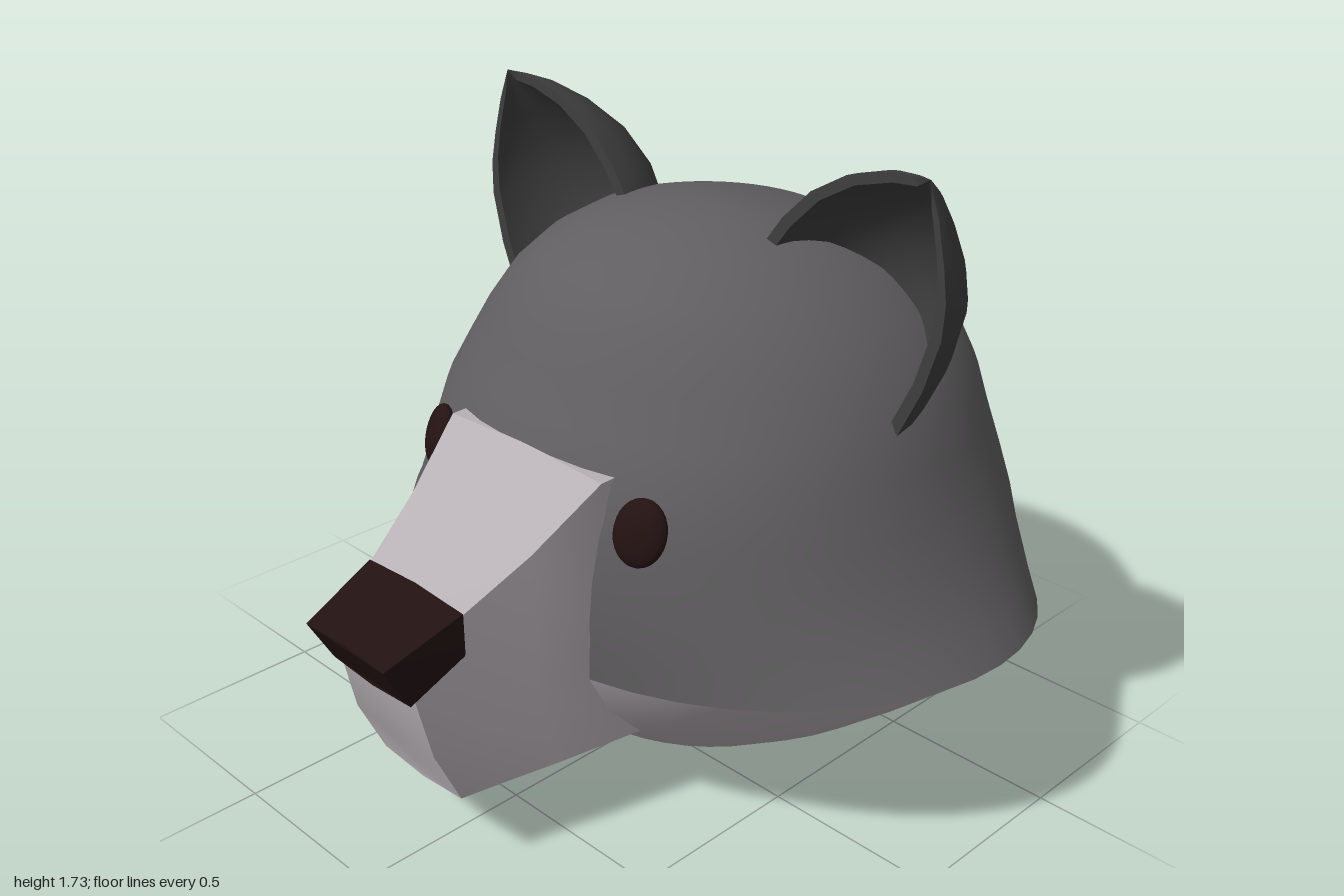
import * as THREE from 'three';
import { toCreasedNormals } from 'three/addons/utils/BufferGeometryUtils.js';

const mat = (color) => new THREE.MeshStandardMaterial({ color });

// Skin closed rings of [x, y, z]; optionally close the last ring with a strip of quads.
function loft(rings, crease, cap = false) {
  const n = rings[0].length, index = [];
  for (let i = 0; i < rings.length - 1; i++) {
    for (let j = 0; j < n; j++) {
      const a = i * n + j, b = i * n + (j + 1) % n;
      index.push(a, b, b + n, a, b + n, a + n);
    }
  }
  if (cap) {
    const o = (rings.length - 1) * n;
    for (let k = 0; k < n / 2 - 1; k++) {
      index.push(o + k, o + k + 1, o + n - 2 - k, o + k, o + n - 2 - k, o + n - 1 - k);
    }
  }
  const g = new THREE.BufferGeometry();
  g.setAttribute('position', new THREE.Float32BufferAttribute(rings.flat(2), 3));
  g.setIndex(index);
  return toCreasedNormals(g, crease);
}

// Oval head section; the rows near the cheek line dip toward front and back.
function headRing([y, w, front, back]) {
  const ring = [], mid = (front + back) / 2, half = (front - back) / 2;
  const dip = 0.075 * Math.max(0, 1 - Math.abs(y - 0.55) / 0.35);
  for (let j = 0; j < 48; j++) {
    const a = j / 48 * Math.PI * 2, s = Math.sin(a);
    ring.push([w * Math.cos(a), y - dip * s * s, mid - half * s]);
  }
  return ring;
}

// Symmetric ring from right-hand points [halfWidth, y, z], bottom to top,
// bowed outward a little along the centre line.
function mirrorRing(pts, bow) {
  const [, y0, z0] = pts[0], [, y1, z1] = pts[pts.length - 1];
  const half = [[0, y0 - bow, z0], ...pts, [0, y1 + bow, z1]];
  return [...half, ...half.map(([x, y, z]) => [-x, y, z]).reverse()];
}

// Hollow ear: crescent sections from base to tip.
function ear(side) {
  const rows = [ // inner x, y, outer x, y, depth
    [0.25, 1.48, 0.70, 1.10, 0.29], [0.30, 1.55, 0.76, 1.23, 0.295],
    [0.385, 1.635, 0.80, 1.37, 0.255], [0.49, 1.697, 0.803, 1.46, 0.19],
    [0.60, 1.73, 0.787, 1.55, 0.12], [0.67, 1.736, 0.762, 1.65, 0.06],
    [0.73, 1.737, 0.73, 1.737, 0],
  ];
  const rings = rows.map(([ix, iy, ox, oy, depth]) => {
    const mx = (ix + ox) / 2, my = (iy + oy) / 2;
    const hx = (ox - ix) / 2, hy = (oy - iy) / 2, len = Math.hypot(hx, hy);
    const k = len > 0 ? Math.max(0, 1 - 0.032 / len) : 0;
    const arc = (s, d) => Array.from({ length: 17 }, (_, j) => {
      const a = j / 16 * Math.PI, c = Math.cos(a) * s, y = my + hy * c;
      return [side * (mx + hx * c), y, -0.15 - 0.03 * (y - 1.1) - d * Math.sin(a)];
    });
    const ring = [...arc(1, depth), ...arc(k, Math.max(0, depth - 0.03)).reverse()];
    return side < 0 ? ring.reverse() : ring;
  });
  return loft(rings, 0.8);
}

export function createModel() {
  const model = new THREE.Group();
  const dark = mat(0x605e60), light = mat(0xb6afb4), earMat = mat(0x3f3e3f), black = mat(0x231212);
  const add = (name, geometry, material) => {
    const mesh = new THREE.Mesh(geometry, material);
    mesh.name = name;
    model.add(mesh);
    return mesh;
  };

  // Head: height, half width, front z, back z
  const cheek = [0.55, 1, 0.485, -0.95];
  const lower = [
    [0.005, 0, -0.22, -0.22], [0.015, 0.15, -0.06, -0.38], [0.06, 0.31, 0.1, -0.56],
    [0.13, 0.47, 0.23, -0.68], [0.25, 0.65, 0.345, -0.815], [0.4, 0.83, 0.435, -0.91], cheek,
  ];
  const upper = [
    cheek, [0.62, 0.945, 0.495, -0.975], [0.7, 0.892, 0.5, -0.99], [0.78, 0.848, 0.498, -1],
    [0.88, 0.8, 0.485, -0.985], [1, 0.75, 0.455, -0.955], [1.1, 0.71, 0.39, -0.925],
    [1.2, 0.655, 0.335, -0.88], [1.3, 0.575, 0.282, -0.815], [1.39, 0.465, 0.21, -0.705],
    [1.46, 0.34, 0.1, -0.56], [1.505, 0.2, -0.04, -0.39], [1.522, 0.09, -0.14, -0.29],
    [1.525, 0, -0.22, -0.22],
  ];
  add('lowerFace', loft(lower.map(headRing), 0.7), light);
  add('upperHead', loft(upper.map(headRing), 0.7), dark);

  // Muzzle: tapering snout with a sloping, slightly crowned bridge
  add('muzzle', loft([
    [[0.28, 0.26, 0.1], [0.28, 0.6, 0.1], [0.28, 1.03, 0.2]],
    [[0.28, 0.26, 0.31], [0.28, 0.6, 0.42], [0.28, 1.025, 0.43]],
    [[0.225, 0.25, 0.54], [0.225, 0.5, 0.6], [0.228, 0.88, 0.61]],
    [[0.18, 0.242, 0.7], [0.18, 0.45, 0.76], [0.18, 0.77, 0.785]],
    [[0.155, 0.238, 0.8], [0.155, 0.4, 0.875], [0.148, 0.62, 0.925]],
  ].map((pts) => mirrorRing(pts, 0.013)), 0.45, true), light);

  // Nose: slanted wedge on the tip of the muzzle
  add('nose', loft([
    [[0.17, 0.68, 0.77], [0.17, 0.75, 0.77]],
    [[0.182, 0.66, 0.785], [0.182, 0.775, 0.785]],
    [[0.153, 0.57, 0.93], [0.153, 0.695, 1]],
  ].map((pts) => mirrorRing(pts, 0.01)), 0.3, true), black);

  // Ears and eyes
  for (const side of [1, -1]) {
    const name = side > 0 ? 'left' : 'right';
    add(name + 'Ear', ear(side), earMat);
    const eye = add(name + 'Eye', new THREE.SphereGeometry(1, 20, 14), black);
    eye.scale.set(0.07, 0.086, 0.03);
    eye.position.set(side * 0.38, 0.92, 0.4);
    eye.rotation.set(-0.32, side * 0.35, 0);
  }
  return model;
}
